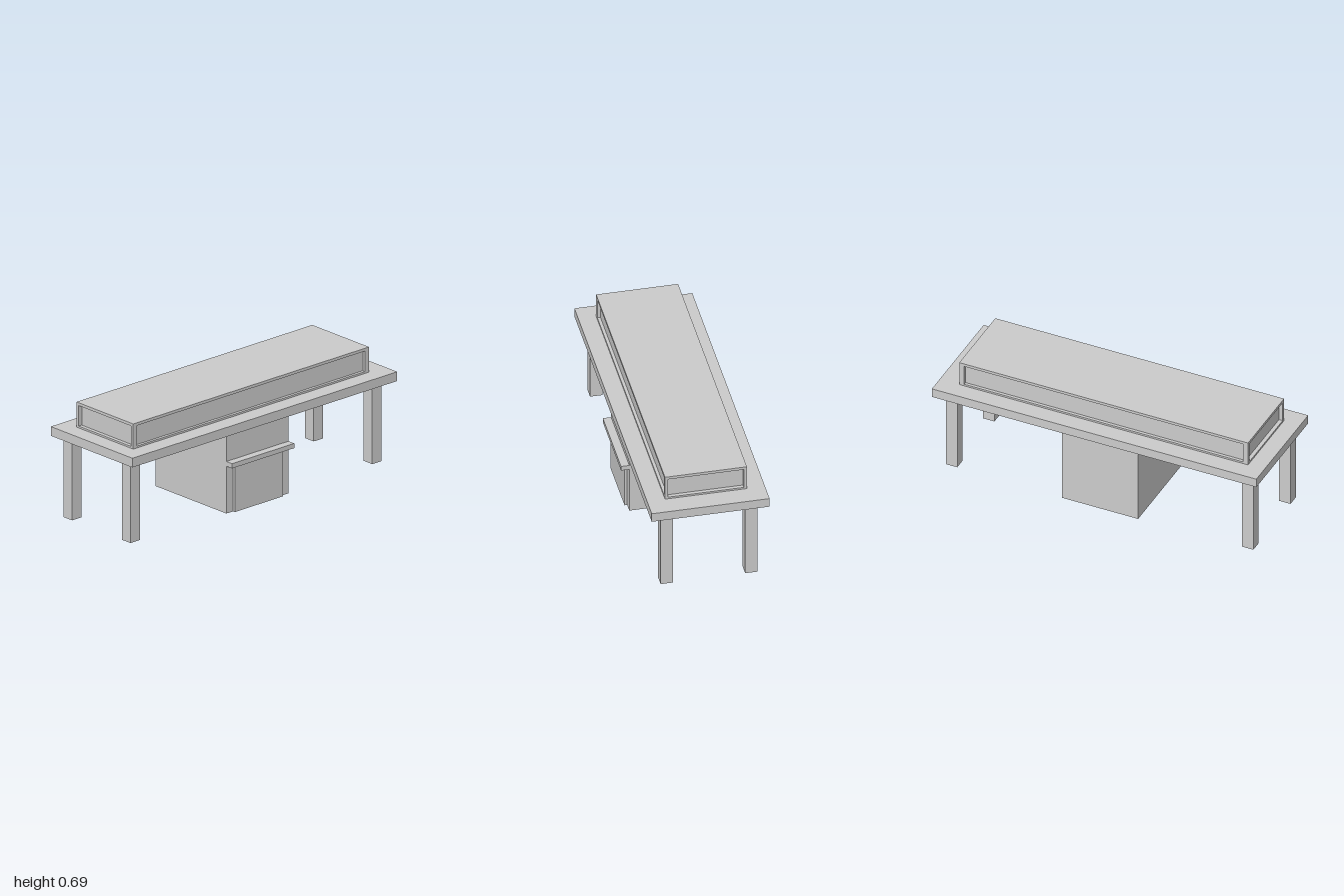
import * as THREE from 'three';

const material = new THREE.MeshStandardMaterial({ color: 0xcccccc, side: THREE.DoubleSide });

// Box given by its extents; openBottom drops the underside.
function box(name, [x0, x1], [y0, y1], [z0, z1], openBottom = false) {
  const geometry = new THREE.BoxGeometry(x1 - x0, y1 - y0, z1 - z0);
  if (openBottom) {
    const index = Array.from(geometry.index.array);
    index.splice(18, 6);
    geometry.setIndex(index);
    geometry.clearGroups();
  }
  const mesh = new THREE.Mesh(geometry, material);
  mesh.name = name;
  mesh.position.set((x0 + x1) / 2, (y0 + y1) / 2, (z0 + z1) / 2);
  return mesh;
}

// Long case with a recessed panel on each of its four sides
function createDisplayCase() {
  const group = new THREE.Group();
  group.name = 'displayCase';
  const x = [-0.235, 0.232], z = [-0.88, 0.9];
  const bottom = 0.535, sill = 0.546, head = 0.668, top = 0.685;
  const postX = 0.018, postZ = 0.03, recess = 0.023;

  group.add(
    box('caseSill', x, [bottom, sill], z),
    box('caseLid', x, [head, top], z),
    box('casePanels', [x[0] + postX, x[1] - postX], [sill, head], [z[0] + recess, z[1] - recess]),
  );
  for (const px of [[x[0], x[0] + postX], [x[1] - postX, x[1]]]) {
    for (const pz of [[z[0], z[0] + postZ], [z[1] - postZ, z[1]]]) {
      group.add(box('casePost', px, [sill, head], pz));
    }
  }
  return group;
}

// Hollow central cabinet with a ledge and a raised panel on its left side
function createCabinet() {
  const group = new THREE.Group();
  group.name = 'cabinet';
  const z = [-0.22, 0.25];
  group.add(
    box('cabinetBody', [-0.293, 0.29], [0, 0.48], z, true),
    box('cabinetLedge', [0.29, 0.337], [0.282, 0.31], z),
    box('cabinetPanel', [0.29, 0.305], [0, 0.282], [-0.165, 0.2]),
  );
  return group;
}

export function createModel() {
  const model = new THREE.Group();
  model.name = 'counterTable';
  model.add(box('tableTop', [-0.338, 0.334], [0.48, 0.535], [-1, 1]));
  model.add(createDisplayCase(), createCabinet());

  // Hollow square legs; only the front left one is closed underneath
  for (const x of [[-0.282, -0.212], [0.2, 0.27]]) {
    for (const z of [[-0.94, -0.87], [0.885, 0.955]]) {
      model.add(box('leg', x, [0, 0.48], z, !(x[0] > 0 && z[0] > 0)));
    }
  }
  return model;
}
